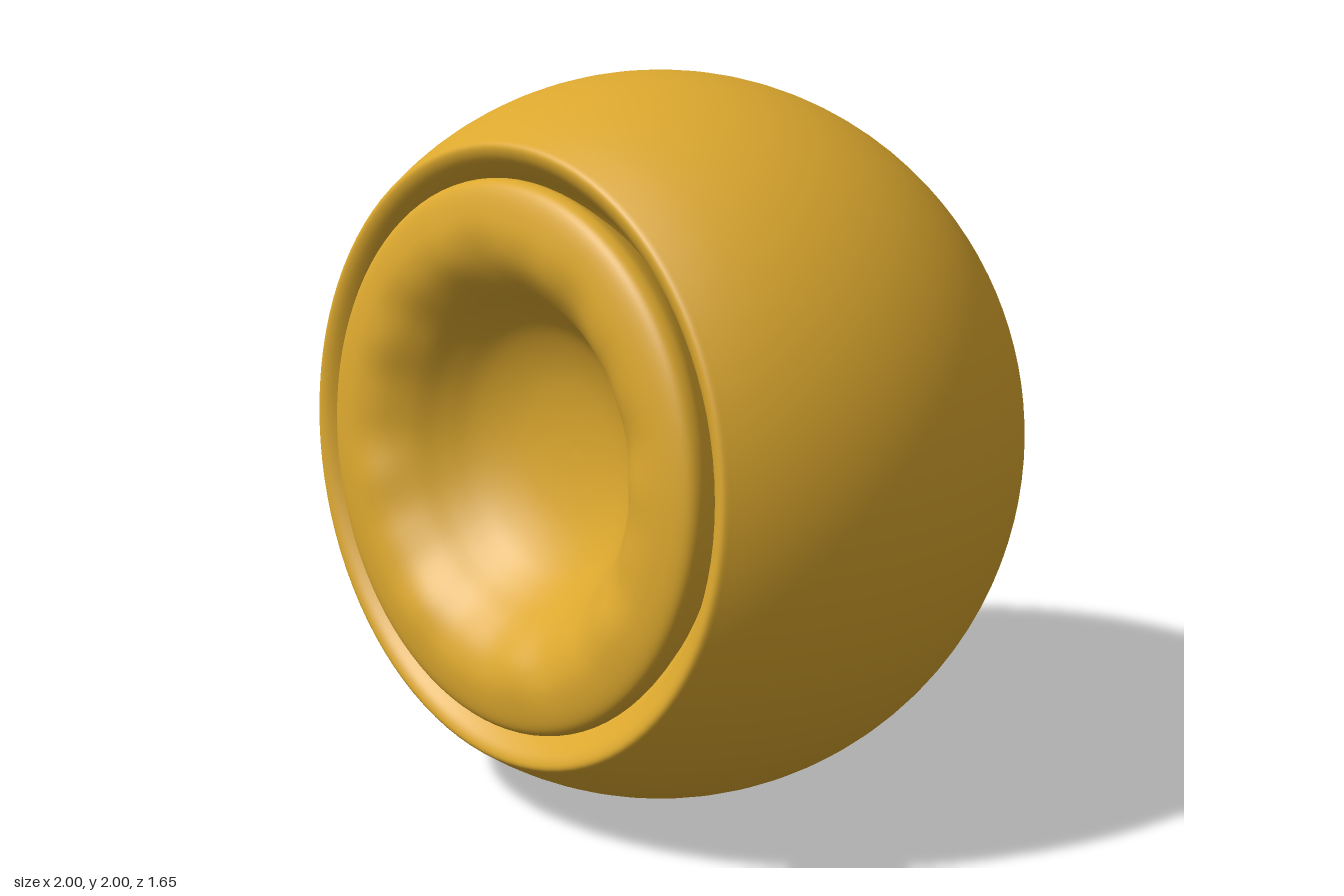
import * as THREE from 'three';
import { mergeVertices } from 'three/addons/utils/BufferGeometryUtils.js';

const CENTRE = new THREE.Vector3(0, 1, 0.18);
// the open face looks forward, tipped slightly up and to the side
const FACING = new THREE.Vector3(-0.054, 0.048, 1).normalize();
const SEGMENTS = 96;

// smooth curve through [radius, distance along the axis] pairs
function smoothProfile(pairs, count) {
  const curve = new THREE.SplineCurve(pairs.map(([r, d]) => new THREE.Vector2(r, d)));
  return curve.getPoints(count).map((p) => new THREE.Vector2(Math.max(p.x, 0), p.y));
}

function turned(name, points, material, wrinkle) {
  let geometry = new THREE.LatheGeometry(points, SEGMENTS);
  geometry.deleteAttribute('uv');
  geometry.deleteAttribute('normal');
  geometry = mergeVertices(geometry, 1e-5);
  if (wrinkle) {
    const pos = geometry.attributes.position;
    for (let i = 0; i < pos.count; i++) {
      const x = pos.getX(i), z = pos.getZ(i);
      pos.setY(i, pos.getY(i) + wrinkle(Math.hypot(x, z), Math.atan2(z, x)));
    }
  }
  geometry.computeVertexNormals();
  const mesh = new THREE.Mesh(geometry, material);
  mesh.name = name;
  return mesh;
}

export function createModel() {
  const gold = new THREE.MeshStandardMaterial({ color: 0xdba72e });
  gold.name = 'golden yellow';

  // round body, cut off at the front
  const bodyPoints = [];
  const rimAngle = Math.asin(0.55);
  for (let i = 0; i <= 56; i++) {
    const a = -Math.PI / 2 + (i / 56) * (rimAngle + Math.PI / 2);
    bodyPoints.push(new THREE.Vector2(i === 0 ? 0 : Math.cos(a), Math.sin(a)));
  }
  // rounded lip turning inward to a groove
  const lipPoints = smoothProfile([
    [0.835, 0.55], [0.822, 0.568], [0.805, 0.571], [0.78, 0.558], [0.75, 0.525], [0.72, 0.48], [0.69, 0.45],
  ], 24);
  const body = turned('roundBody', bodyPoints.concat(lipPoints.slice(1)), gold);

  // padded ring sinking into a central bowl
  const cushionPoints = smoothProfile([
    [0.69, 0.45], [0.722, 0.51], [0.732, 0.55], [0.715, 0.583], [0.66, 0.602], [0.59, 0.607],
    [0.52, 0.585], [0.45, 0.53], [0.39, 0.46], [0.32, 0.395], [0.22, 0.345], [0.11, 0.32], [0, 0.312],
  ], 64);
  // faint puckers around the ring
  const pucker = (r, a) => {
    const fade = Math.exp(-(((r - 0.53) / 0.08) ** 2));
    return 0.004 * fade * (Math.sin(9 * a + 0.7) + 0.7 * Math.sin(17 * a + 2));
  };
  const cushion = turned('hollowCushion', cushionPoints, gold, pucker);

  const ball = new THREE.Group();
  ball.name = 'hollowedBall';
  ball.add(body, cushion);
  ball.quaternion.setFromUnitVectors(new THREE.Vector3(0, 1, 0), FACING);
  ball.position.copy(CENTRE);

  const model = new THREE.Group();
  model.name = 'model';
  model.add(ball);
  return model;
}
